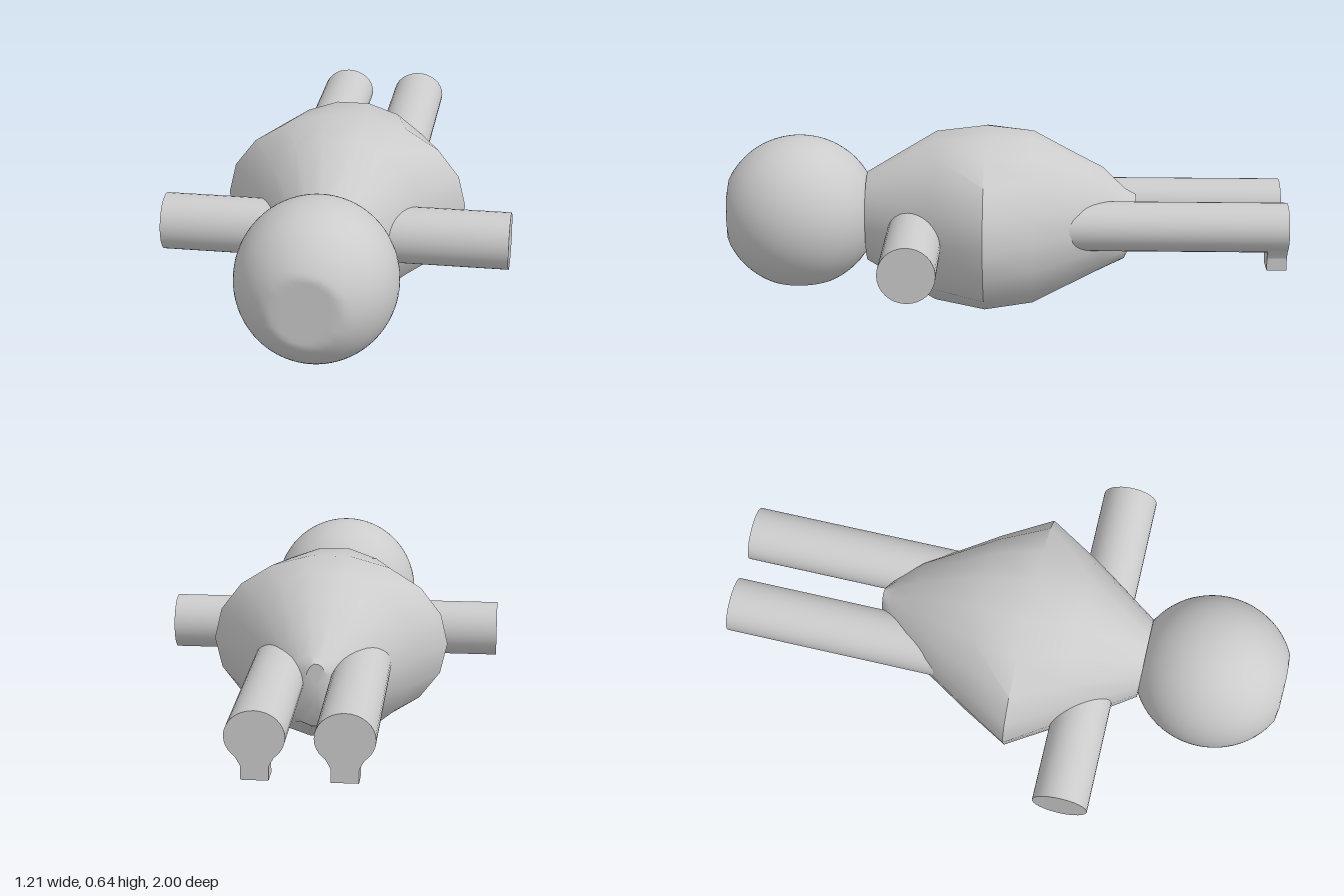
import * as THREE from 'three';
import { toCreasedNormals, mergeVertices } from 'three/addons/utils/BufferGeometryUtils.js';

const material = new THREE.MeshStandardMaterial({ color: 0xcccccc });

function add(group, name, geometry) {
  const mesh = new THREE.Mesh(geometry, material);
  mesh.name = name;
  group.add(mesh);
  return mesh;
}

// Loft of elliptical sections [z, half width, half height, centre y], front to back
function loft(sections, sides) {
  const positions = [], index = [];
  for (const [z, w, h, y] of sections) {
    for (let i = 0; i < sides; i++) {
      const a = (i / sides) * Math.PI * 2;
      positions.push(w * Math.cos(a), y + h * Math.sin(a), z);
    }
  }
  for (let r = 0; r < sections.length - 1; r++) {
    for (let i = 0; i < sides; i++) {
      const a = r * sides + i, b = r * sides + (i + 1) % sides;
      index.push(a, a + sides, b, b, a + sides, b + sides);
    }
  }
  const g = new THREE.BufferGeometry();
  g.setAttribute('position', new THREE.Float32BufferAttribute(positions, 3));
  g.setIndex(index);
  return toCreasedNormals(g, 0.6);
}

// Ball flattened at the front, back and underside
function headGeometry() {
  let g = new THREE.SphereGeometry(1, 64, 48);
  g.deleteAttribute('uv');
  g.deleteAttribute('normal');
  g = mergeVertices(g);
  const p = g.attributes.position;
  for (let i = 0; i < p.count; i++) {
    p.setXYZ(i,
      p.getX(i) * 0.273,
      Math.max(p.getY(i) * 0.277, -0.245),
      THREE.MathUtils.clamp(p.getZ(i) * 0.283, -0.253, 0.253));
  }
  g.computeVertexNormals();
  return g;
}

// Foot outline: leg circle narrowing into a small square heel below
function footGeometry() {
  const s = new THREE.Shape();
  s.moveTo(-0.045, -0.145);
  s.lineTo(0.045, -0.145);
  s.lineTo(0.045, -0.1);
  s.quadraticCurveTo(0.055, -0.075, 0.085, -0.035);
  s.lineTo(0.085, 0);
  s.lineTo(-0.085, 0);
  s.lineTo(-0.085, -0.035);
  s.quadraticCurveTo(-0.055, -0.075, -0.045, -0.1);
  return new THREE.ExtrudeGeometry(s, { depth: 0.07, bevelEnabled: false, curveSegments: 6 });
}

export function createModel() {
  const model = new THREE.Group();
  model.name = 'lyingFigure';

  // Faceted torso, widest at the waist ridge
  add(model, 'torso', loft([
    [0.5, 0, 0, 0.325],
    [0.5, 0.14, 0.165, 0.325],
    [0.25, 0.31, 0.308, 0.33],
    [0.07, 0.428, 0.325, 0.33],
    [-0.1, 0.325, 0.313, 0.328],
    [-0.22, 0.25, 0.252, 0.326],
    [-0.35, 0.17, 0.187, 0.325],
    [-0.43, 0.11, 0.13, 0.305],
    [-0.47, 0.04, 0.08, 0.335],
    [-0.47, 0, 0, 0.335],
  ], 18));

  add(model, 'head', headGeometry()).position.set(0, 0.343, 0.747);

  for (const [side, s] of [['left', 1], ['right', -1]]) {
    // Arm straight out to the side
    const arm = add(model, side + 'Arm', new THREE.CylinderGeometry(0.099, 0.099, 0.5, 32));
    arm.rotation.z = Math.PI / 2;
    arm.position.set(s * 0.355, 0.319, 0.318);

    // Leg straight back, slightly oval
    const leg = add(model, side + 'Leg', new THREE.CylinderGeometry(0.098, 0.098, 0.85, 32));
    leg.rotation.x = Math.PI / 2;
    leg.scale.z = 0.89;
    leg.position.set(s * 0.143, 0.342, -0.575);

    // Foot at the end of the leg
    add(model, side + 'Foot', footGeometry()).position.set(s * 0.143, 0.342, -1);
  }
  return model;
}
